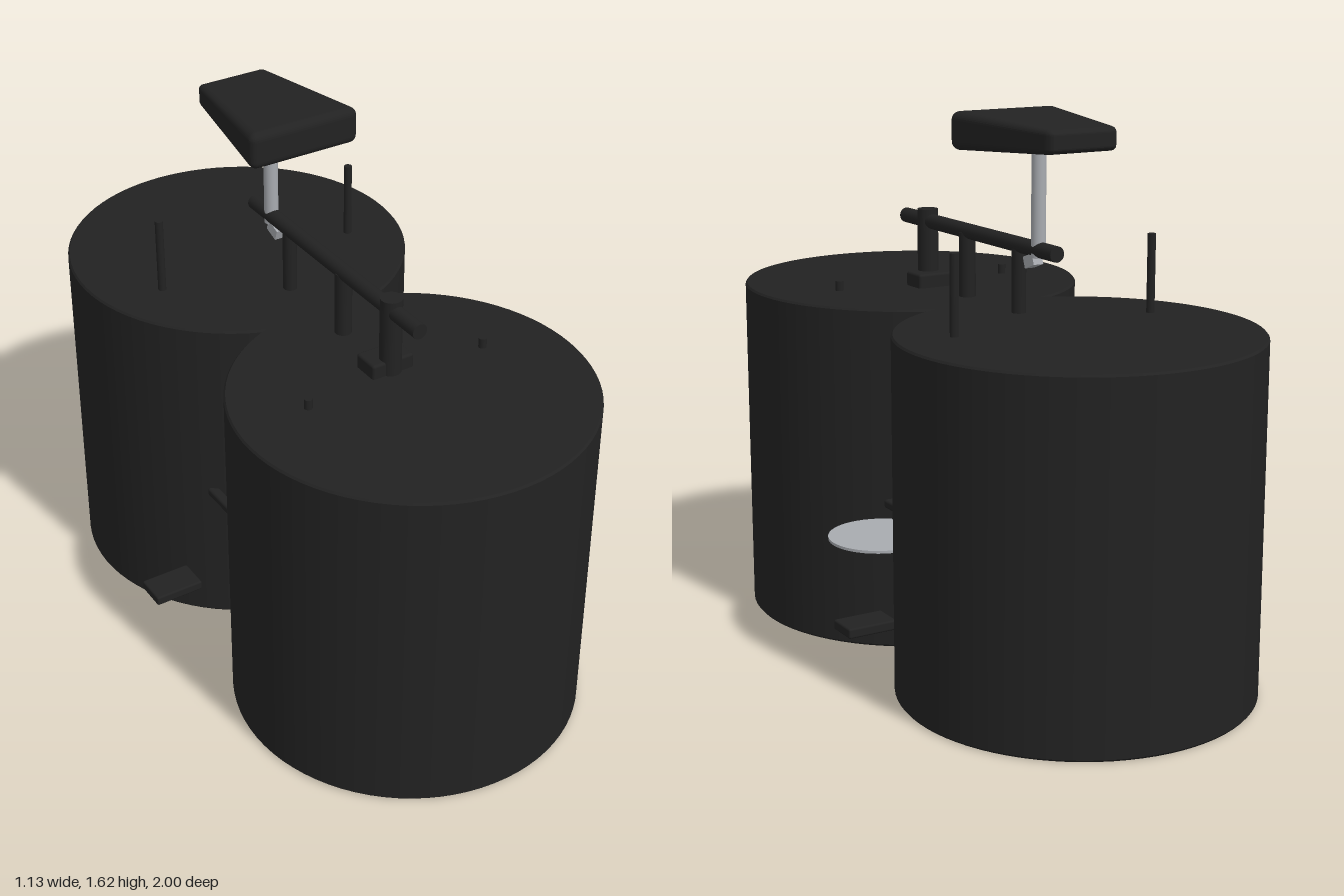
import * as THREE from 'three';
import { RoundedBoxGeometry } from 'three/addons/geometries/RoundedBoxGeometry.js';

const black = new THREE.MeshStandardMaterial({ name: 'black', color: 0x222222 });
const silver = new THREE.MeshStandardMaterial({ name: 'silver', color: 0xa8abb0 });
const CX = -0.012; // centre plane of the frame

export function createModel() {
  const model = new THREE.Group();
  const add = (name, geometry, material, x, y, z) => {
    const mesh = new THREE.Mesh(geometry, material);
    mesh.name = name;
    mesh.position.set(x, y, z);
    model.add(mesh);
    return mesh;
  };
  // Upright round post between two heights
  const post = (name, material, r, x, z, y0, y1) =>
    add(name, new THREE.CylinderGeometry(r, r, y1 - y0, 24), material, x, (y0 + y1) / 2, z);

  // Two big drums with softened rims
  const rim = [[0, 0], [0.514, 0], [0.519, 0.006], [0.519, 1.034], [0.514, 1.04], [0, 1.04]];
  const profile = [];
  rim.forEach(([r, y], i) => {
    profile.push(new THREE.Vector2(r, y));
    // Doubled points keep the flat ends and wall crisp
    if (i > 0 && i < rim.length - 1) profile.push(new THREE.Vector2(r, y));
  });
  for (const [name, z] of [['frontDrum', 0.481], ['rearDrum', -0.481]]) {
    add(name, new THREE.LatheGeometry(profile, 80), black, CX, 0, z);
  }

  // Frame: long tube, head post, two uprights and the foot block
  add('topTube', new THREE.CylinderGeometry(0.023, 0.023, 0.87, 24), black, CX, 1.238, 0.07).rotation.x = Math.PI / 2;
  post('headPost', black, 0.032, CX, 0.368, 1.0, 1.275);
  post('frontUpright', black, 0.025, CX, 0.127, 1.0, 1.235);
  post('rearUpright', black, 0.021, CX, -0.165, 1.0, 1.235);
  add('footBlock', new RoundedBoxGeometry(0.136, 0.08, 0.086, 2, 0.008), black, CX, 1.043, 0.343);

  // Mirrored rods, pins, side bars and pedals
  for (const s of [-1, 1]) {
    post('rearRod', black, 0.012, CX + s * 0.327, -0.358, 1.0, 1.27);
    post('frontPin', black, 0.012, CX + s * 0.29, 0.405, 1.0, 1.07);
    add('sideBar', new RoundedBoxGeometry(0.032, 0.026, 0.125, 2, 0.008), black, CX + s * 0.328, 0.467, -0.03);
    add('pedal', new RoundedBoxGeometry(0.155, 0.03, 0.1, 2, 0.006), black, CX + s * 0.477, 0.156, -0.097);
  }

  // Thin round plate at the side
  add('sideDisc', new THREE.CylinderGeometry(0.151, 0.151, 0.008, 48), silver, 0.41, 0.416, -0.095);

  // Seat post and its clamp
  post('seatPost', silver, 0.021, CX, -0.268, 1.215, 1.56);
  add('seatClamp', new THREE.BoxGeometry(0.032, 0.034, 0.05), silver, CX, 1.203, -0.24).rotation.x = 0.35;

  // Seat: rounded block narrowing in width and height toward its nose
  const seat = new RoundedBoxGeometry(0.356, 0.112, 0.427, 4, 0.025);
  const p = seat.attributes.position;
  for (let i = 0; i < p.count; i++) {
    const t = 0.5 - p.getZ(i) / 0.427;
    p.setX(i, p.getX(i) * (1 - 0.38 * t));
    p.setY(i, p.getY(i) * (1 - 0.42 * t));
  }
  seat.computeVertexNormals();
  add('seat', seat, black, CX, 1.565, -0.283);

  return model;
}
